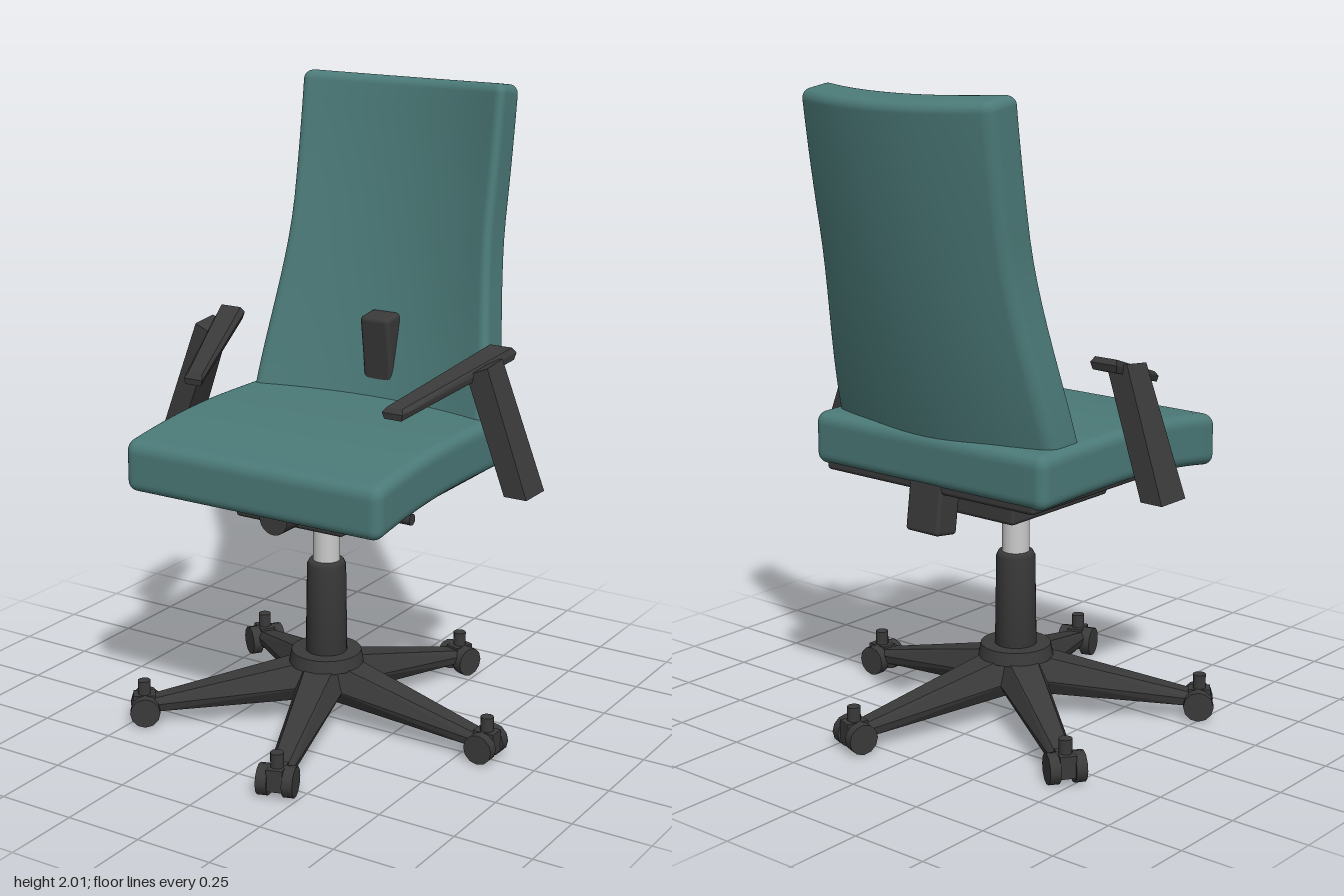
import * as THREE from 'three';
import { mergeVertices } from 'three/addons/utils/BufferGeometryUtils.js';
import { ConvexGeometry } from 'three/addons/geometries/ConvexGeometry.js';
import { RoundedBoxGeometry } from 'three/addons/geometries/RoundedBoxGeometry.js';

const fabric = new THREE.MeshStandardMaterial({ color: 0x4b7a78 });
const plastic = new THREE.MeshStandardMaterial({ color: 0x3a3a3a });
const steel = new THREE.MeshStandardMaterial({ color: 0xcccccc });

function add(parent, name, geometry, material, x = 0, y = 0, z = 0) {
  const mesh = new THREE.Mesh(geometry, material);
  mesh.name = name;
  mesh.position.set(x, y, z);
  parent.add(mesh);
  return mesh;
}

// Finely divided box with rounded edges, then bent by warp(point)
function cushion(w, h, d, r, warp) {
  const n = 24, k = 4;
  const geo = new THREE.BoxGeometry(2, 2, 2, n, n, n);
  geo.deleteAttribute('uv');
  geo.deleteAttribute('normal');
  // Spend the first and last k divisions on the rounded margin
  const spread = (u, half) => {
    const i = Math.round(Math.abs(u) * n / 2), inner = n / 2 - k;
    const p = i <= inner ? (half - r) * i / inner : half - r + r * (i - inner) / k;
    return Math.sign(u) * p;
  };
  const pos = geo.attributes.position;
  const p = new THREE.Vector3(), core = new THREE.Vector3();
  const limit = new THREE.Vector3(w / 2 - r, h / 2 - r, d / 2 - r);
  for (let i = 0; i < pos.count; i++) {
    p.set(spread(pos.getX(i), w / 2), spread(pos.getY(i), h / 2), spread(pos.getZ(i), d / 2));
    core.copy(p).clamp(limit.clone().negate(), limit);
    p.sub(core).setLength(r).add(core);
    warp(p);
    pos.setXYZ(i, p.x, p.y, p.z);
  }
  const merged = mergeVertices(geo, 1e-5);
  merged.computeVertexNormals();
  return merged;
}

// Straight beam between two end outlines
const beam = (...corners) => new ConvexGeometry(corners.map(c => new THREE.Vector3(...c)));

function buildSeat(chair) {
  // Seat pad with a drooping front edge
  add(chair, 'seat', cushion(0.91, 0.165, 0.87, 0.035, p => {
    p.y += 0.925 - 0.04 * Math.pow(Math.max(0, p.z + 0.05) / 0.48, 2);
    p.y -= 0.008 * Math.pow(Math.min(0, p.z) / 0.43, 2);
    p.z += 0.005;
  }), fabric);
  add(chair, 'seatPlate', new RoundedBoxGeometry(0.82, 0.05, 0.66, 2, 0.012), plastic, 0, 0.845, -0.09);

  // Backrest: leaning, bowed forward at its sides, wider towards the seat
  add(chair, 'backrest', cushion(0.73, 1.07, 0.13, 0.03, p => {
    const y = p.y + 1.46, t = y - 1, u = p.x / 0.365;
    const flare = 1 - THREE.MathUtils.smoothstep(y, 0.9, 1.6);
    p.x = u * (0.365 + 0.065 * flare);
    p.y = y + 0.15 * (p.z + 0.07 * u * u);
    p.z += -0.355 - 0.28 * t + 0.08 * t * t + 0.07 * u * u;
  }), fabric);

  // Back support bar, passing through the seat
  const bar = add(chair, 'backBar', new RoundedBoxGeometry(0.106, 0.585, 0.085, 2, 0.015), plastic, 0, 0.98, -0.357);
  bar.rotation.x = 0.137;
  const tail = add(chair, 'backBarFoot', new RoundedBoxGeometry(0.13, 0.17, 0.09, 2, 0.012), plastic, 0, 0.775, -0.387);
  tail.rotation.x = 0.137;
}

function buildMechanism(chair) {
  add(chair, 'mechanism', new RoundedBoxGeometry(0.39, 0.12, 0.47, 2, 0.012), plastic, 0, 0.77, -0.015);
  const knob = add(chair, 'tensionKnob', new THREE.CylinderGeometry(0.05, 0.05, 0.1, 24), plastic, 0, 0.757, 0.25);
  knob.rotation.x = Math.PI / 2;
  const lever = add(chair, 'lever', new THREE.CylinderGeometry(0.018, 0.018, 0.2, 12), plastic, 0.28, 0.775, 0.12);
  lever.rotation.z = Math.PI / 2;
  add(chair, 'gasLift', new THREE.CylinderGeometry(0.043, 0.043, 0.22, 24), steel, 0, 0.62, 0);
  const sleeve = [[0, 0.2], [0.067, 0.2], [0.062, 0.525], [0.054, 0.54], [0, 0.54]];
  add(chair, 'columnSleeve', new THREE.LatheGeometry(sleeve.map(q => new THREE.Vector2(...q)), 24), plastic);
}

function buildArmrest(side) {
  const arm = new THREE.Group();
  arm.name = side > 0 ? 'leftArmrest' : 'rightArmrest';
  const m = (x, y, z) => [side * x, y, z];
  // Slanted post
  add(arm, 'armPost', beam(
    m(0.60, 0.84, -0.045), m(0.675, 0.84, -0.045), m(0.60, 0.84, -0.162), m(0.675, 0.84, -0.162),
    m(0.462, 1.195, -0.05), m(0.532, 1.225, -0.05), m(0.462, 1.215, -0.145), m(0.532, 1.235, -0.145)
  ), plastic);
  // Pad converging and falling towards the front, with chamfered top edges
  add(arm, 'armPad', beam(
    m(0.455, 1.22, -0.205), m(0.54, 1.22, -0.205), m(0.45, 1.242, -0.21), m(0.545, 1.242, -0.21),
    m(0.46, 1.258, -0.2), m(0.535, 1.258, -0.2),
    m(0.33, 1.103, 0.205), m(0.388, 1.103, 0.205), m(0.323, 1.122, 0.207), m(0.393, 1.122, 0.207),
    m(0.333, 1.137, 0.195), m(0.385, 1.137, 0.195)
  ), plastic);
  return arm;
}

// One spoke of the base with its twin-wheel caster, pointing along +x
function buildSpoke() {
  const spoke = new THREE.Group();
  spoke.name = 'baseSpoke';
  const corners = [];
  for (const s of [-1, 1]) {
    corners.push([0, 0.205, s * 0.05], [0, 0.145, s * 0.085], [0, 0.09, s * 0.055],
      [0.1, 0.2, s * 0.045],
      [0.57, 0.082, s * 0.022], [0.57, 0.065, s * 0.034], [0.56, 0.042, s * 0.03]);
  }
  add(spoke, 'spokeArm', beam(...corners), plastic);
  add(spoke, 'casterStem', new THREE.CylinderGeometry(0.021, 0.021, 0.09, 10), plastic, 0.585, 0.095, 0);
  add(spoke, 'casterBody', new THREE.BoxGeometry(0.07, 0.07, 0.05), plastic, 0.585, 0.06, 0);
  for (const s of [-1, 1]) {
    const wheel = add(spoke, 'casterWheel', new THREE.CylinderGeometry(0.048, 0.048, 0.034, 12), plastic, 0.582, 0.048, s * 0.04);
    wheel.rotation.x = Math.PI / 2;
  }
  return spoke;
}

export function createModel() {
  const chair = new THREE.Group();
  chair.name = 'officeChair';
  buildSeat(chair);
  buildMechanism(chair);
  for (const side of [-1, 1]) chair.add(buildArmrest(side));

  // Five-spoke base around the hub
  add(chair, 'hub', new THREE.CylinderGeometry(0.112, 0.12, 0.042, 24), plastic, 0, 0.214, 0);
  add(chair, 'hubCore', new THREE.CylinderGeometry(0.1, 0.08, 0.11, 20), plastic, 0, 0.15, 0);
  for (let i = 0; i < 5; i++) {
    const spoke = buildSpoke();
    spoke.rotation.y = -i * Math.PI * 2 / 5;
    chair.add(spoke);
  }
  return chair;
}
